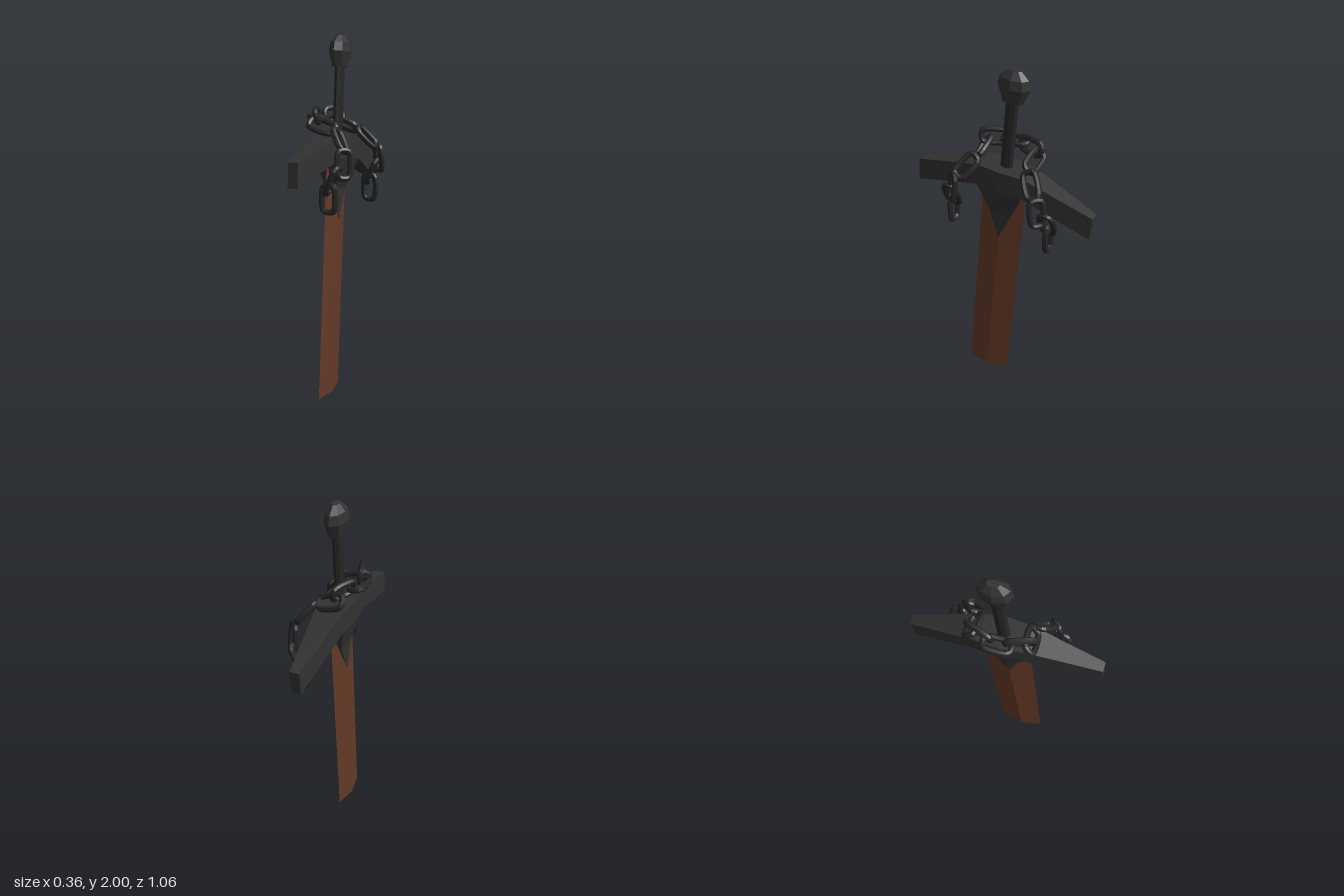
import * as THREE from 'three';

const material = (name, color) => {
  const m = new THREE.MeshStandardMaterial({ color, flatShading: true });
  m.name = name;
  return m;
};

// Solid skinned over a row of rings, each ring counterclockwise seen from the end
function loft(rings) {
  const pos = [];
  const tri = (a, b, c) => pos.push(...a, ...b, ...c);
  const n = rings[0].length;
  for (let r = 0; r + 1 < rings.length; r++) {
    const a = rings[r], b = rings[r + 1];
    for (let i = 0; i < n; i++) {
      const j = (i + 1) % n;
      tri(a[i], a[j], b[j]);
      tri(a[i], b[j], b[i]);
    }
  }
  const first = rings[0], last = rings[rings.length - 1];
  for (let i = 1; i + 1 < n; i++) {
    tri(first[0], first[i + 1], first[i]);
    tri(last[0], last[i], last[i + 1]);
  }
  const g = new THREE.BufferGeometry();
  g.setAttribute('position', new THREE.Float32BufferAttribute(pos, 3));
  g.computeVertexNormals();
  return g;
}

export function createModel() {
  const root = new THREE.Group();
  root.name = 'chainedSword';
  const steel = material('dark steel', 0x323232);
  const iron = material('black iron', 0x262626);
  const rust = material('rusty brown', 0x633926);

  const add = (parent, name, geometry, mat) => {
    const mesh = new THREE.Mesh(geometry, mat);
    mesh.name = name;
    parent.add(mesh);
    return mesh;
  };

  // Blade: leaning diamond section, cut level at the ground
  const bladeRing = (y) => {
    const z = 0.11 - 0.086 * y;
    return [[0.006, y, z], [-0.019, y, z - 0.13], [-0.044, y, z], [-0.019, y, z + 0.13]];
  };
  add(root, 'blade', loft([bladeRing(0), bladeRing(1.36)]), rust);

  // Hilt leans with the blade
  const hilt = new THREE.Group();
  hilt.name = 'hilt';
  hilt.position.set(-0.018, 1.4, -0.01);
  hilt.rotation.x = -0.086;
  root.add(hilt);

  // Crossguard: drooping arms that taper to the tips
  const guardRings = [
    [-0.525, 0.027, -0.2, -0.07],
    [-0.135, 0.076, -0.067, 0.054],
    [0, 0.09, -0.067, 0.056],
    [0.135, 0.076, -0.067, 0.054],
    [0.525, 0.027, -0.2, -0.07],
  ].map(([z, h, lo, hi]) => [[-h, lo, z], [h, lo, z], [h, hi, z], [-h, hi, z]]);
  add(hilt, 'crossguard', loft(guardRings), steel);

  // Pointed collar clasping the top of the blade
  const collarRing = (y, mid, side, z) => [
    [mid, y, 0], [side, y, -z], [-side, y, -z], [-mid, y, 0], [-side, y, z], [side, y, z],
  ];
  add(hilt, 'bladeCollar', loft([
    collarRing(-0.4, 0.027, 0.026, 0.002),
    collarRing(-0.23, 0.033, 0.028, 0.067),
    collarRing(-0.066, 0.09, 0.076, 0.133),
  ]), steel);

  // Oval grip
  const grip = add(hilt, 'grip', new THREE.CylinderGeometry(0.036, 0.036, 0.42, 8), iron);
  grip.scale.x = 0.72;
  grip.position.y = 0.24;

  // Faceted pommel, flattened sideways
  const profile = [[0, 0.43], [0.06, 0.43], [0.092, 0.512], [0.078, 0.56], [0.034, 0.599], [0, 0.599]];
  const pommel = add(hilt, 'pommel',
    new THREE.LatheGeometry(profile.map(([r, y]) => new THREE.Vector2(r, y)), 8), steel);
  pommel.scale.x = 0.62;

  // One chain link: rounded loop, long along x, facing z
  const loop = [[0.074, 0], [0.066, 0.028], [0.04, 0.036], [-0.04, 0.036], [-0.066, 0.028],
    [-0.074, 0], [-0.066, -0.028], [-0.04, -0.036], [0.04, -0.036], [0.066, -0.028]];
  const linkCurve = new THREE.CatmullRomCurve3(
    loop.map(([x, y]) => new THREE.Vector3(x, y, 0)), true);
  const linkGeometry = new THREE.TubeGeometry(linkCurve, 28, 0.0165, 7, true);

  const chain = new THREE.Group();
  chain.name = 'chain';
  root.add(chain);
  const addLink = (name, center, dir, normal, side) => {
    const flip = ([x, y, z]) => new THREE.Vector3(x, y, z * side);
    const long = flip(dir).normalize();
    const face = flip(normal);
    face.addScaledVector(long, -face.dot(long)).normalize();
    const across = new THREE.Vector3().crossVectors(face, long);
    const link = add(chain, name, linkGeometry, iron);
    link.quaternion.setFromRotationMatrix(new THREE.Matrix4().makeBasis(long, across, face));
    const c = flip(center);
    // the chain hangs a little lower towards the back
    link.position.set(c.x, c.y + 0.045 * c.z, c.z - 0.016);
  };

  // Middle link behind the grip, then both ends draped over the guard
  addLink('middleLink', [-0.128, 1.56, 0], [0, 0, 1], [0.15, 1, 0], 1);
  const links = [
    [[-0.088, 1.57, 0.107], [0.05, 0, 0.14], [0.14, 0.03, -0.05]],
    [[-0.04, 1.515, 0.152], [1, -0.3, -0.05], [0.3, 0.65, 0.65]],
    [[0.08, 1.445, 0.19], [0.5, -0.65, 0.45], [0.7, 0.6, -0.1]],
    [[0.13, 1.325, 0.25], [0.06, -1, 0.12], [0.7, 0, 0.7]],
    [[0.08, 1.24, 0.287], [-0.4, -0.85, 0], [0.85, -0.4, 0]],
    [[0.06, 1.145, 0.29], [0, -1, 0], [0, 0, 1]],
  ];
  for (const side of [1, -1]) {
    links.forEach(([c, d, n], i) =>
      addLink(`${side > 0 ? 'front' : 'back'}Link${i + 1}`, c, d, n, side));
  }
  return root;
}
